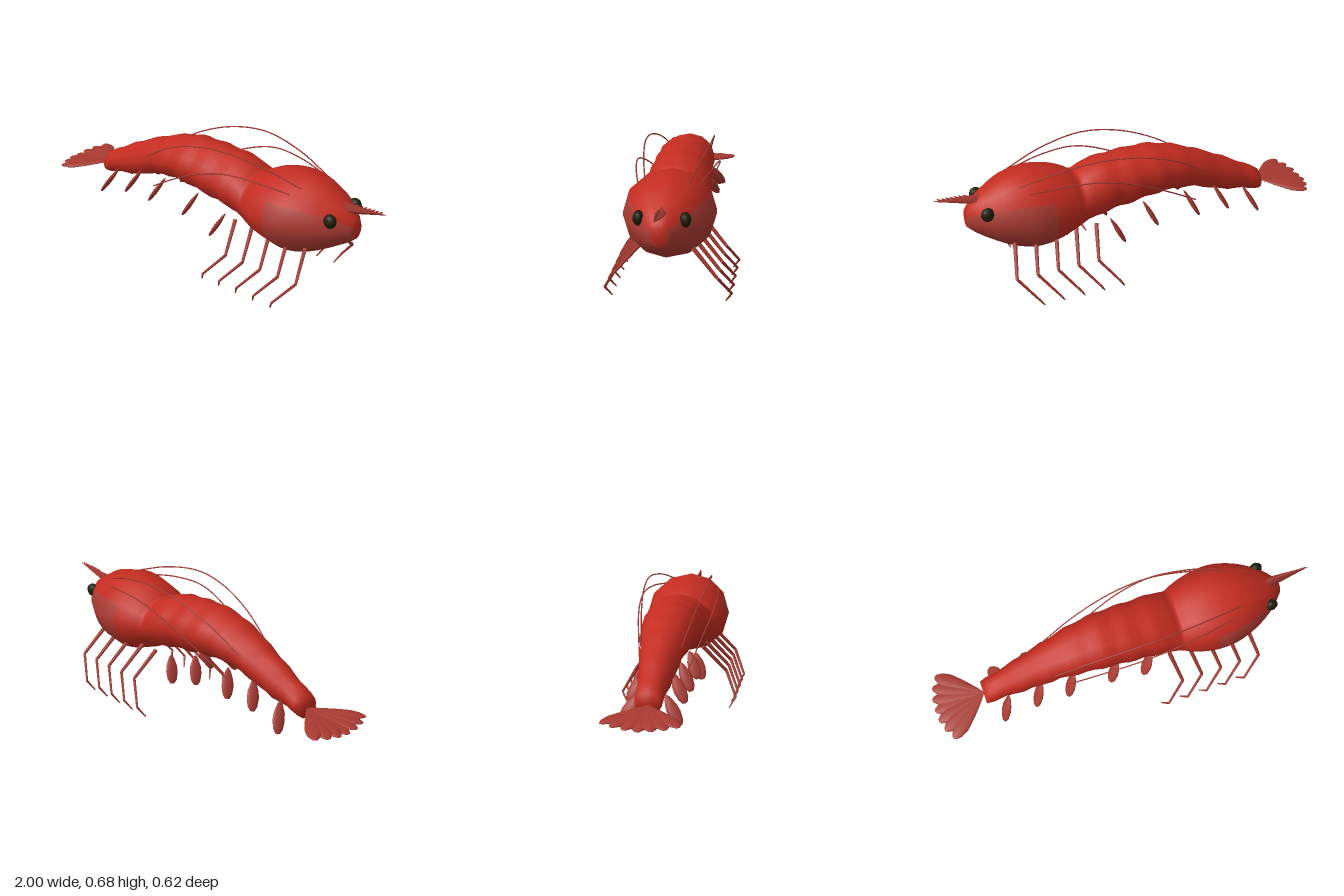
import * as THREE from 'three';

const V = (x, y, z) => new THREE.Vector3(x, y, z);

const mat = (name, color) => {
  const m = new THREE.MeshStandardMaterial({ color });
  m.name = name;
  return m;
};

// Body stations from tail to head: x, top, bottom, half width
const STATIONS = [
  [-0.74, 0.345, 0.235, 0.06], [-0.64, 0.405, 0.257, 0.07], [-0.5, 0.48, 0.287, 0.088],
  [-0.35, 0.548, 0.342, 0.11], [-0.22, 0.592, 0.36, 0.132], [-0.1, 0.612, 0.354, 0.145],
  [0, 0.61, 0.338, 0.15], [0.1, 0.604, 0.325, 0.155], [0.2, 0.587, 0.305, 0.16],
  [0.25, 0.567, 0.293, 0.162], [0.285, 0.548, 0.28, 0.168], [0.32, 0.568, 0.262, 0.184],
  [0.37, 0.592, 0.239, 0.201], [0.45, 0.614, 0.218, 0.217], [0.54, 0.621, 0.215, 0.218],
  [0.65, 0.602, 0.246, 0.185], [0.75, 0.55, 0.3, 0.13], [0.81, 0.51, 0.338, 0.08],
  [0.85, 0.465, 0.372, 0.036],
];

// Twelve-sided loft through the stations; group 0 is the back, group 1 the cheeks
function bodyGeometry() {
  const sides = 12, rings = (STATIONS.length - 1) * 3, pos = [], back = [], cheeks = [];
  const tops = new THREE.CatmullRomCurve3(STATIONS.map(s => V(s[0], s[1], s[3])));
  const bottoms = new THREE.CatmullRomCurve3(STATIONS.map(s => V(s[0], s[2], 0)));
  for (let r = 0; r <= rings; r++) {
    const t = tops.getPoint(r / rings), b = bottoms.getPoint(r / rings);
    // gentle swelling of each abdominal segment
    const swell = t.x < 0.2 && t.x > -0.72 ? 0.004 * Math.sin((t.x + 0.02) * 44) : 0;
    const cy = (t.y + b.y) / 2, ry = (t.y - b.y) / 2 + swell, rz = t.z + swell;
    for (let i = 0; i < sides; i++) {
      const a = (i / sides) * Math.PI * 2;
      pos.push(t.x, cy + ry * Math.cos(a), rz * Math.sin(a));
    }
  }
  for (let r = 0; r < rings; r++) {
    for (let i = 0; i < sides; i++) {
      const j = (i + 1) % sides;
      const a = r * sides + i, b = r * sides + j, c = a + sides, d = b + sides;
      const onCheek = pos[a * 3] > 0.44 && i > 1 && i < 10;
      (onCheek ? cheeks : back).push(a, b, c, b, d, c);
    }
  }
  const tail = pos.length / 3, head = tail + 1, last = rings * sides;
  pos.push(-0.74, 0.29, 0, 0.853, 0.42, 0);
  for (let i = 0; i < sides; i++) {
    const j = (i + 1) % sides;
    back.push(tail, j, i, head, last + i, last + j);
  }
  const g = new THREE.BufferGeometry();
  g.setAttribute('position', new THREE.Float32BufferAttribute(pos, 3));
  g.setIndex([...back, ...cheeks]);
  g.addGroup(0, back.length, 0);
  g.addGroup(back.length, cheeks.length, 1);
  g.computeVertexNormals();
  return g;
}

export function createModel() {
  const shell = mat('shell red', 0xc42c20);
  const cheek = mat('cheek red', 0xae3a32);
  const limb = mat('limb red', 0xa83a32);
  const black = mat('eye black', 0x1c1d08);
  const model = new THREE.Group();

  const add = (name, geometry, material, parent = model) => {
    const m = new THREE.Mesh(geometry, material);
    m.name = name;
    parent.add(m);
    return m;
  };
  const group = name => {
    const g = new THREE.Group();
    g.name = name;
    model.add(g);
    return g;
  };

  // Tapered rod between two points
  const rod = (name, a, b, ra, rb, sides, parent) => {
    const d = b.clone().sub(a);
    const m = add(name, new THREE.CylinderGeometry(rb, ra, d.length(), sides), limb, parent);
    m.position.copy(a).addScaledVector(d, 0.5);
    m.quaternion.setFromUnitVectors(V(0, 1, 0), d.normalize());
  };

  // Flat leaf from a to b, widening along the profile; "across" sets its width direction
  const leaf = (name, a, b, halfWidth, halfThick, across, profile, parent) => {
    const d = b.clone().sub(a), len = d.length();
    const g = new THREE.LatheGeometry(profile.map(p => new THREE.Vector2(p[0], p[1])), 10);
    const yAxis = d.normalize();
    const zAxis = across.clone().cross(yAxis).normalize();
    const xAxis = yAxis.clone().cross(zAxis);
    g.scale(halfWidth, len, halfThick);
    g.applyMatrix4(new THREE.Matrix4().makeBasis(xAxis, yAxis, zAxis).setPosition(a));
    add(name, g, limb, parent);
  };

  add('body', bodyGeometry(), [shell, cheek]);

  // Rostrum spike with a row of teeth along its upper edge
  const rostrum = group('rostrum');
  const base = V(0.74, 0.505, 0), tip = V(1, 0.547, 0);
  rod('spike', base, tip, 0.034, 0.001, 4, rostrum);
  for (let i = 0; i < 7; i++) {
    const t = 0.38 + i * 0.08;
    const p = base.clone().lerp(tip, t);
    p.y += 0.032 * (1 - t) - 0.003;
    rod('tooth', p, p.clone().add(V(0.017, 0.015, 0)), 0.007, 0.0005, 4, rostrum);
  }

  const paddleProfile = [[0, 0], [0.45, 0.12], [0.9, 0.38], [1, 0.6], [0.8, 0.85], [0.4, 0.98], [0, 1]];
  const fanProfile = [[0, 0], [0.3, 0.15], [0.75, 0.45], [1, 0.72], [0.8, 0.88], [0.35, 0.98], [0, 1]];
  // Paddles along the abdomen: tip x, tip y, root z, tip z
  const paddles = [
    [-0.685, 0.176, 0.06, 0.142], [-0.51, 0.228, 0.065, 0.138], [-0.34, 0.233, 0.075, 0.142],
    [-0.11, 0.226, 0.085, 0.14], [0.07, 0.17, 0.09, 0.14],
  ];

  for (const s of [1, -1]) {
    const side = s > 0 ? 'right' : 'left';

    // Eyes on short stalks
    rod(side + ' eye stalk', V(0.74, 0.465, s * 0.07), V(0.762, 0.478, s * 0.098), 0.018, 0.014, 8, model);
    const eye = add(side + ' eye', new THREE.SphereGeometry(1, 10, 8), black);
    eye.scale.set(0.034, 0.035, 0.027);
    eye.position.set(0.765, 0.478, s * 0.106);

    // Long swept-back antennae
    const paths = [
      [[0.6, 0.588, 0.1], [0.42, 0.645, 0.135], [0.2, 0.676, 0.16], [0, 0.65, 0.155],
        [-0.2, 0.575, 0.13], [-0.39, 0.455, 0.095]],
      [[0.56, 0.563, 0.14], [0.4, 0.585, 0.175], [0.22, 0.583, 0.197], [0.05, 0.53, 0.19],
        [-0.14, 0.43, 0.155], [-0.33, 0.31, 0.11]],
    ];
    for (const path of paths) {
      const curve = new THREE.CatmullRomCurve3(path.map(p => V(p[0], p[1], s * p[2])));
      add(side + ' antenna', new THREE.TubeGeometry(curve, 32, 0.0035, 5), limb);
    }

    // Five jointed walking legs
    for (let i = 0; i < 5; i++) {
      const leg = group(side + ' walking leg');
      const x = 0.255 + i * 0.106;
      const hip = V(x - 0.035, 0.305, s * 0.12), knee = V(x, 0.168, s * 0.242);
      const ankle = V(x - 0.095, 0.055, s * 0.303), foot = V(x - 0.124, 0.003, s * 0.272);
      rod('upper leg', hip, knee, 0.011, 0.008, 6, leg);
      rod('lower leg', knee, ankle, 0.008, 0.006, 6, leg);
      rod('foot', ankle, foot, 0.006, 0.003, 6, leg);
    }

    // Swimming paddles under the abdomen
    for (const [x, y, z0, z1] of paddles) {
      leaf(side + ' swimming paddle', V(x + 0.065, y + 0.13, s * z0), V(x, y, s * z1),
        0.032, 0.012, V(0.25, 0, s), paddleProfile, model);
    }
  }

  // Tail fan of overlapping blades
  const fan = group('tail fan');
  for (let i = -3; i <= 3; i++) {
    const a = i * 0.225, len = 0.267 + 0.004 * Math.abs(i);
    leaf('tail blade', V(-0.735, 0.287, 0),
      V(-0.735 - len * Math.cos(a), 0.25 + 0.004 * Math.abs(i), len * Math.sin(a)),
      0.039, 0.011, V(Math.sin(a), 0, Math.cos(a)), fanProfile, fan);
  }

  return model;
}
